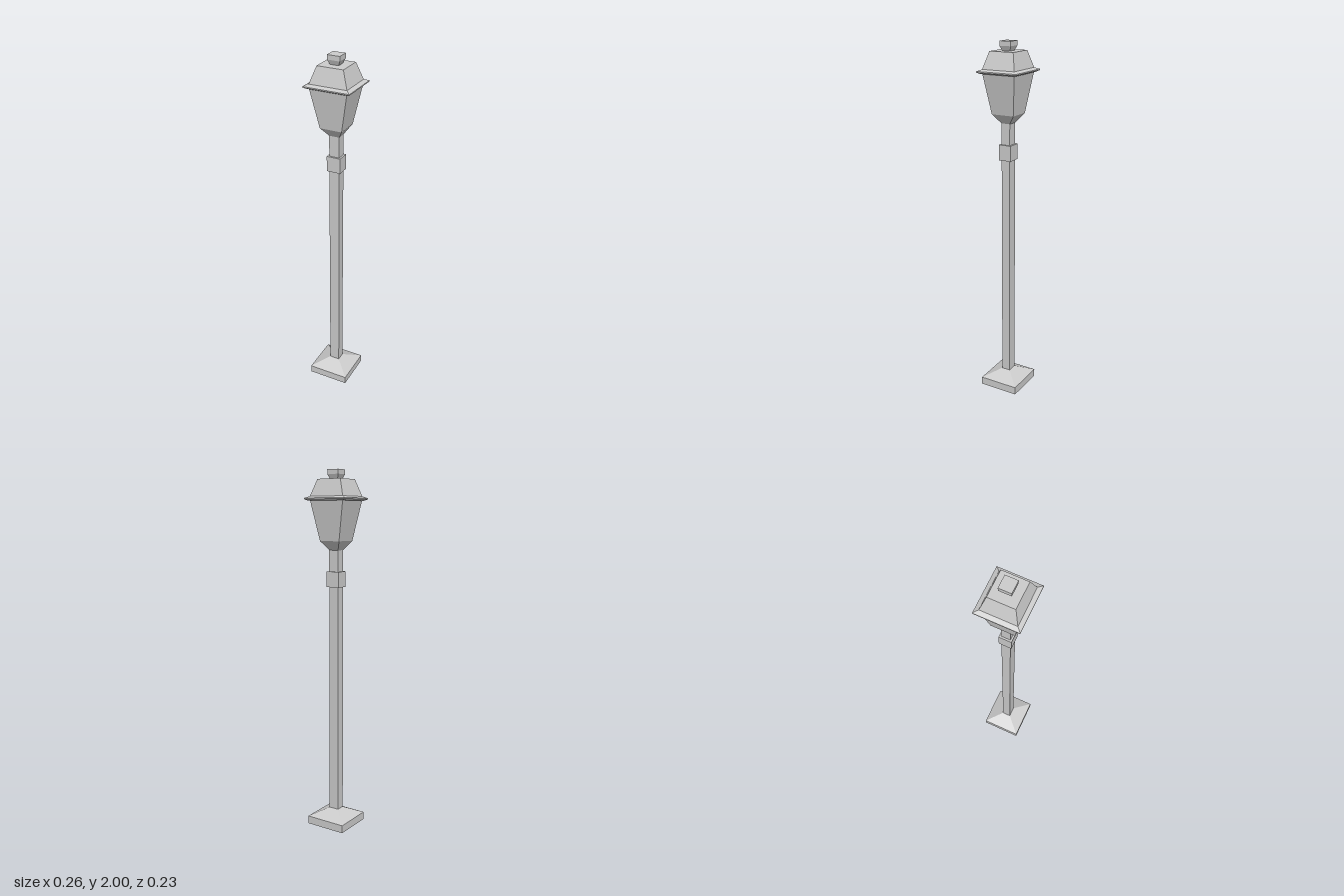
import * as THREE from 'three';

const material = new THREE.MeshStandardMaterial({ color: 0xcccccc, flatShading: true });

// Closed rectangular loft through rings of [y, half width x, half depth z], bottom to top
function rectLoft(name, rings) {
  const pos = [];
  const corner = ([y, hx, hz], i) => [
    [hx, y, hz], [hx, y, -hz], [-hx, y, -hz], [-hx, y, hz],
  ][i % 4];
  const quad = (a, b, c, d) => pos.push(...a, ...b, ...c, ...a, ...c, ...d);
  for (let r = 0; r < rings.length - 1; r++) {
    for (let i = 0; i < 4; i++) {
      quad(corner(rings[r], i), corner(rings[r], i + 1),
        corner(rings[r + 1], i + 1), corner(rings[r + 1], i));
    }
  }
  const lo = rings[0], hi = rings[rings.length - 1];
  quad(corner(lo, 3), corner(lo, 2), corner(lo, 1), corner(lo, 0));
  quad(corner(hi, 0), corner(hi, 1), corner(hi, 2), corner(hi, 3));
  const geometry = new THREE.BufferGeometry();
  geometry.setAttribute('position', new THREE.Float32BufferAttribute(pos, 3));
  geometry.computeVertexNormals();
  const mesh = new THREE.Mesh(geometry, material);
  mesh.name = name;
  return mesh;
}

export function createModel() {
  const lamp = new THREE.Group();
  lamp.name = 'streetLamp';
  lamp.add(
    // Plinth with a sloped top
    rectLoft('base', [[0, 0.118, 0.114], [0.045, 0.118, 0.114], [0.09, 0.029, 0.025]]),
    // Post and collar
    rectLoft('post', [[0.09, 0.029, 0.025], [1.575, 0.029, 0.025]]),
    rectLoft('collar', [[1.375, 0.039, 0.035], [1.46, 0.039, 0.035]]),
    // Lantern flaring upwards from the post
    rectLoft('lantern', [[1.575, 0.029, 0.025], [1.625, 0.062, 0.065], [1.842, 0.105, 0.095]]),
    // Projecting rim with bevelled top and bottom
    rectLoft('rim', [[1.837, 0.112, 0.102], [1.845, 0.128, 0.117], [1.851, 0.128, 0.117], [1.86, 0.105, 0.095]]),
    // Tapered roof and finial
    rectLoft('roof', [[1.86, 0.105, 0.095], [1.95, 0.073, 0.07]]),
    rectLoft('finial', [[1.948, 0.023, 0.022], [1.975, 0.035, 0.033], [2, 0.035, 0.033]]),
  );
  return lamp;
}
